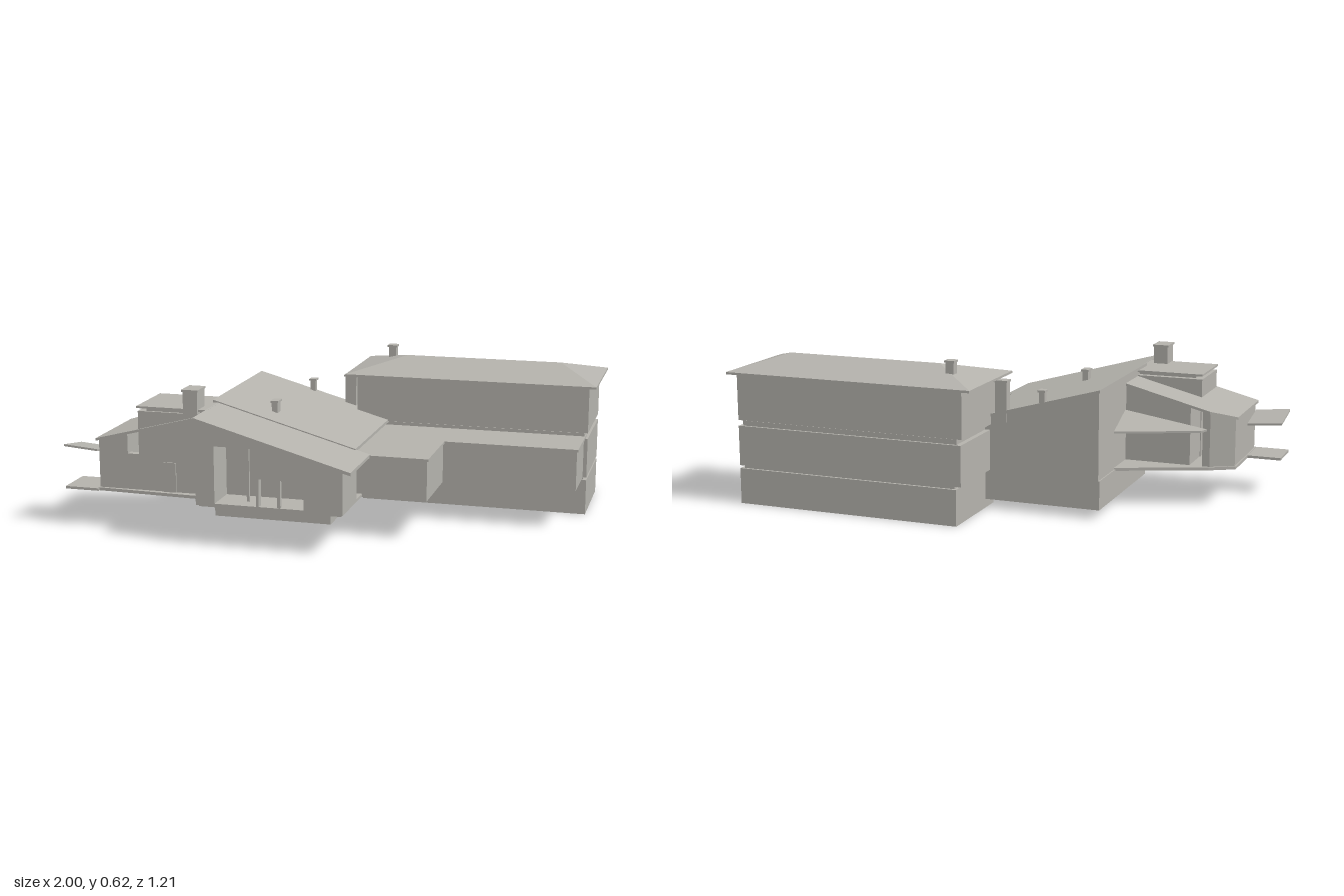
import * as THREE from 'three';
import { ConvexGeometry } from 'three/addons/geometries/ConvexGeometry.js';

export function createModel() {
  const model = new THREE.Group();
  const plaster = new THREE.MeshStandardMaterial({ color: 0xb4b2ac, side: THREE.DoubleSide });
  plaster.name = 'warm grey';

  function add(name, geometry) {
    const mesh = new THREE.Mesh(geometry, plaster);
    mesh.name = name;
    model.add(mesh);
    return mesh;
  }
  // axis-aligned block given by its limits
  function block(name, x0, x1, y0, y1, z0, z1) {
    const g = new THREE.BoxGeometry(x1 - x0, y1 - y0, z1 - z0);
    g.translate((x0 + x1) / 2, (y0 + y1) / 2, (z0 + z1) / 2);
    return add(name, g);
  }
  // wall block whose top follows a height rule along x
  function slopedBlock(name, x0, x1, y0, top, z0, z1) {
    const s = new THREE.Shape([[x0, y0], [x1, y0], [x1, top(x1)], [x0, top(x0)]].map(p => new THREE.Vector2(...p)));
    const g = new THREE.ExtrudeGeometry(s, { depth: z1 - z0, bevelEnabled: false });
    g.translate(0, 0, z0);
    return add(name, g);
  }
  // plate with an [x, z] outline, its top lifted by a height rule
  function plate(name, outline, top, thick = 0.01) {
    const s = new THREE.Shape(outline.map(([x, z]) => new THREE.Vector2(x, -z)));
    const g = new THREE.ExtrudeGeometry(s, { depth: thick, bevelEnabled: false });
    g.rotateX(-Math.PI / 2);
    const p = g.attributes.position;
    for (let i = 0; i < p.count; i++) p.setY(i, p.getY(i) - thick + top(p.getX(i), p.getZ(i)));
    g.computeVertexNormals();
    return add(name, g);
  }
  const rect = (x0, x1, z0, z1) => [[x0, z0], [x1, z0], [x1, z1], [x0, z1]];
  // chimney with a thin projecting cap
  function chimney(name, x0, x1, y0, y1, z0, z1) {
    block(name, x0 + 0.004, x1 - 0.004, y0, y1 - 0.008, z0 + 0.004, z1 - 0.004);
    block(name + 'Cap', x0, x1, y1 - 0.008, y1, z0, z1);
  }

  // east wing: three stacked storeys separated by shadow gaps
  block('eastBasement', 0.04, 0.97, 0, 0.143, -0.575, -0.205);
  block('eastBasementJoint', 0.05, 0.955, 0.14, 0.158, -0.565, -0.215);
  block('eastMiddleRear', 0.02, 0.97, 0.155, 0.315, -0.575, -0.205);
  block('eastMiddleFront', 0.04, 0.955, 0.155, 0.312, -0.21, 0.018);
  block('eastMiddleLink', 0.04, 0.425, 0.155, 0.312, 0.01, 0.318);
  plate('terraceRoof', [[0.1, -0.25], [0.96, -0.25], [0.96, 0.02], [0.43, 0.02], [0.43, 0.32], [0.1, 0.32]], () => 0.322);
  block('terraceKerb', 0.04, 0.955, 0.31, 0.335, -0.565, -0.215);
  block('eastUpperStorey', 0.015, 0.97, 0.338, 0.53, -0.575, -0.205);

  // hipped roof with a thin eave
  const hip = [];
  for (const x of [-0.03, 1]) for (const z of [-0.605, -0.175]) for (const y of [0.524, 0.533]) hip.push(new THREE.Vector3(x, y, z));
  for (const x of [0.185, 0.83]) hip.push(new THREE.Vector3(x, 0.586, -0.39));
  add('hippedRoof', new ConvexGeometry(hip));
  chimney('eastChimney', 0.085, 0.125, 0.55, 0.615, -0.48, -0.44);

  // central hall under one long slope
  const rearTop = x => 0.505 - 0.28 * (x + 0.43);
  const frontTop = x => 0.495 - 0.28 * (x + 0.41);
  block('hallBasement', -0.43, 0.045, 0.035, 0.15, -0.285, 0.32);
  slopedBlock('hallWalls', -0.425, 0.13, 0.148, x => rearTop(x) - 0.01, -0.285, 0.315);
  plate('hallRoof', rect(-0.43, 0.145, -0.29, 0.32), rearTop, 0.012);
  chimney('hallChimney', -0.23, -0.198, 0.42, 0.49, 0.165, 0.213);
  chimney('rearChimney', -0.21, -0.18, 0.4, 0.488, -0.292, -0.258);
  chimney('tallRearChimney', -0.055, 0, 0.35, 0.515, -0.295, -0.25);

  // front hall with two recessed openings
  const under = x => frontTop(x) - 0.01;
  plate('frontRoof', rect(-0.41, 0.2, 0.31, 0.602), frontTop, 0.012);
  block('frontPlinth', -0.4, 0.16, 0.148, 0.166, 0.31, 0.58);
  block('frontFloor', -0.405, 0.17, 0.158, 0.168, 0.31, 0.6);
  slopedBlock('frontCore', -0.4, 0.14, 0.16, under, 0.31, 0.46);
  slopedBlock('frontPier', -0.405, -0.33, 0.16, under, 0.44, 0.6);
  slopedBlock('openingLintel', -0.335, -0.16, 0.39, under, 0.57, 0.6);
  slopedBlock('porchLintel', -0.16, 0.03, 0.275, under, 0.57, 0.6);
  block('openingPost', -0.165, -0.155, 0.16, 0.4, 0.57, 0.6);
  block('innerPost', -0.222, -0.212, 0.16, 0.435, 0.53, 0.54);
  block('porchPost', -0.085, -0.072, 0.16, 0.28, 0.58, 0.595);
  slopedBlock('frontEndRoom', 0.02, 0.17, 0.16, under, 0.4, 0.6);

  // west wing: floor, angled walls and a roof rising toward the hall
  const westTop = x => 0.355 + 0.257 * (x + 0.87);
  const footprint = [[-0.87, 0.105], [-0.77, 0.05], [-0.4, 0.05], [-0.4, 0.46], [-0.87, 0.46]];
  plate('westFloor', [[-0.865, 0.105], [-0.77, 0.05], [-0.4, -0.1], [-0.4, 0.48], [-0.865, 0.46]], () => 0.157, 0.012);
  plate('westRoof', footprint, westTop);
  const westWall = plate('westWalls', [[-0.86, 0.11], [-0.77, 0.06], [-0.74, 0.06], [-0.74, 0.45], [-0.86, 0.45]], () => 0.35, 0.2);
  // raise the wall tops to meet the roof
  const wp = westWall.geometry.attributes.position;
  for (let i = 0; i < wp.count; i++) if (wp.getY(i) > 0.3) wp.setY(i, westTop(wp.getX(i)) - 0.005);
  westWall.geometry.computeVertexNormals();
  block('westParapet', -0.745, -0.69, 0.15, 0.3, 0.42, 0.45);
  slopedBlock('westInnerRoom', -0.69, -0.41, 0.15, x => westTop(x) - 0.006, 0.06, 0.22);

  // tall west block with a floating flat roof
  block('tallBlock', -0.693, -0.4, 0.15, 0.473, 0.215, 0.45);
  block('flatRoofCore', -0.66, -0.42, 0.47, 0.487, 0.24, 0.44);
  plate('flatRoof', rect(-0.695, -0.405, 0.21, 0.46), () => 0.494, 0.008);
  block('frontDoor', -0.59, -0.54, 0.157, 0.275, 0.448, 0.456);
  chimney('westChimney', -0.502, -0.436, 0.47, 0.572, 0.385, 0.475);

  // rear canopy, sloping down and outward
  plate('rearCanopy', [[-0.74, 0.03], [-0.41, -0.1], [-0.41, 0.05], [-0.76, 0.05]],
    (x, z) => 0.305 + 0.4 * (z - 0.03 + 0.394 * (x + 0.74)), 0.008);

  // west terrace and its tilted canopy
  plate('terraceSlab', rect(-1, -0.86, 0.31, 0.47), () => 0.155);
  plate('terraceCanopy', rect(-1, -0.86, 0.31, 0.47),
    (x, z) => 0.325 - 0.08 * (x + 1) + 0.17 * (z - 0.47), 0.008);

  return model;
}
